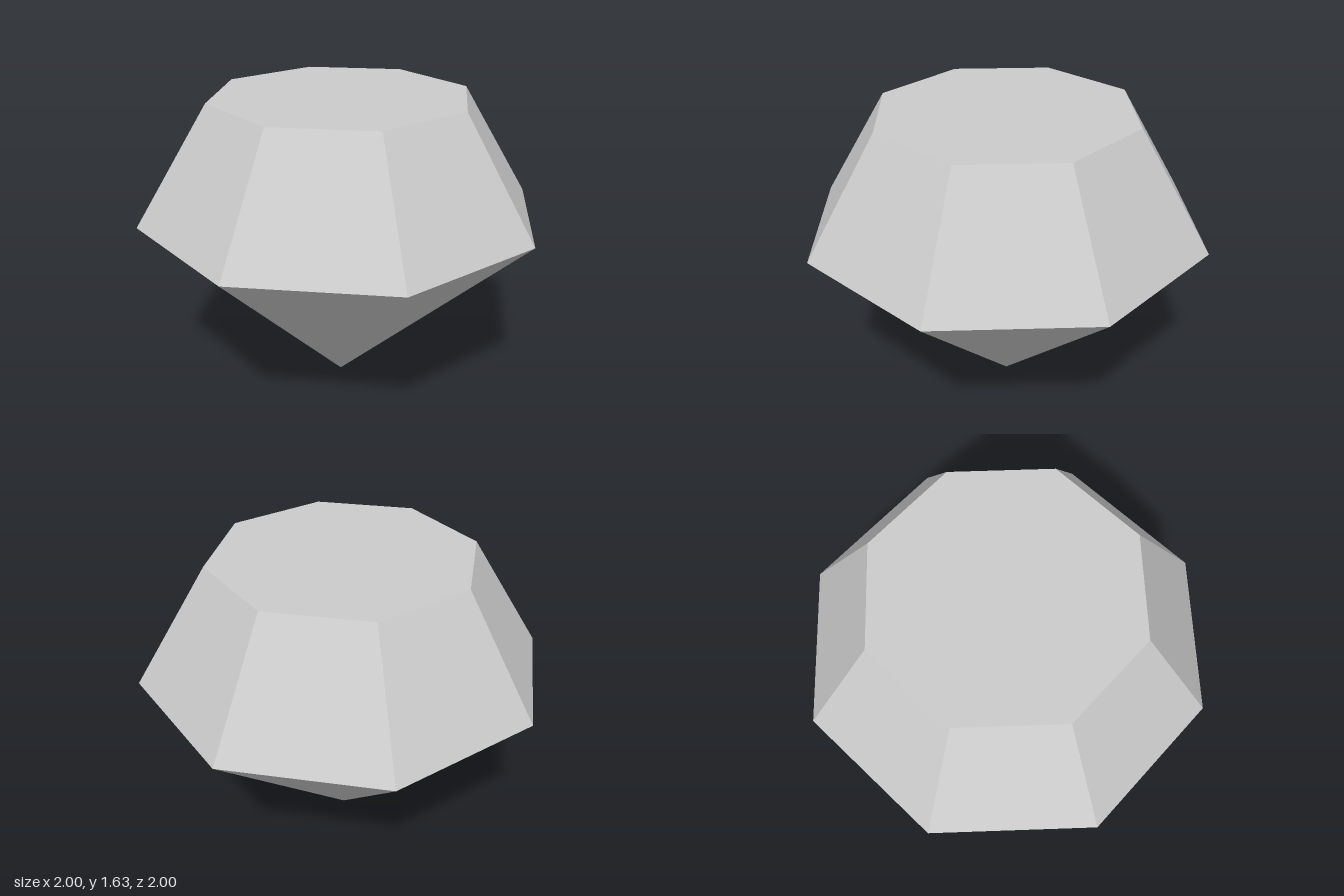
import * as THREE from 'three';

const SIDES = 8;
const TURN = THREE.MathUtils.degToRad(22.5 + 0.65); // flats face the axes, with a slight twist
const TABLE_R = 0.69, GIRDLE_R = 1.078;
const GIRDLE_Y = 1.015, TOP_Y = 1.635;

export function createModel() {
  const gem = new THREE.Group();
  gem.name = 'gem';
  const material = new THREE.MeshStandardMaterial({ color: 0xcccccc, flatShading: true });

  const add = (name, geometry, y) => {
    const mesh = new THREE.Mesh(geometry, material);
    mesh.name = name;
    mesh.position.y = y;
    gem.add(mesh);
  };

  // Open ring of flat facets between two heights
  const facets = (name, rTop, rBottom, y0, y1) => add(
    name,
    new THREE.CylinderGeometry(rTop, rBottom, y1 - y0, SIDES, 1, true, TURN),
    (y0 + y1) / 2,
  );

  // Pointed lower half and sloping upper half, meeting at the girdle
  facets('pavilion', GIRDLE_R, 0, 0, GIRDLE_Y);
  facets('crown', TABLE_R, GIRDLE_R, GIRDLE_Y, TOP_Y);

  // Flat top facet
  add('table', new THREE.CircleGeometry(TABLE_R, SIDES, TURN).rotateX(-Math.PI / 2), TOP_Y);

  return gem;
}
